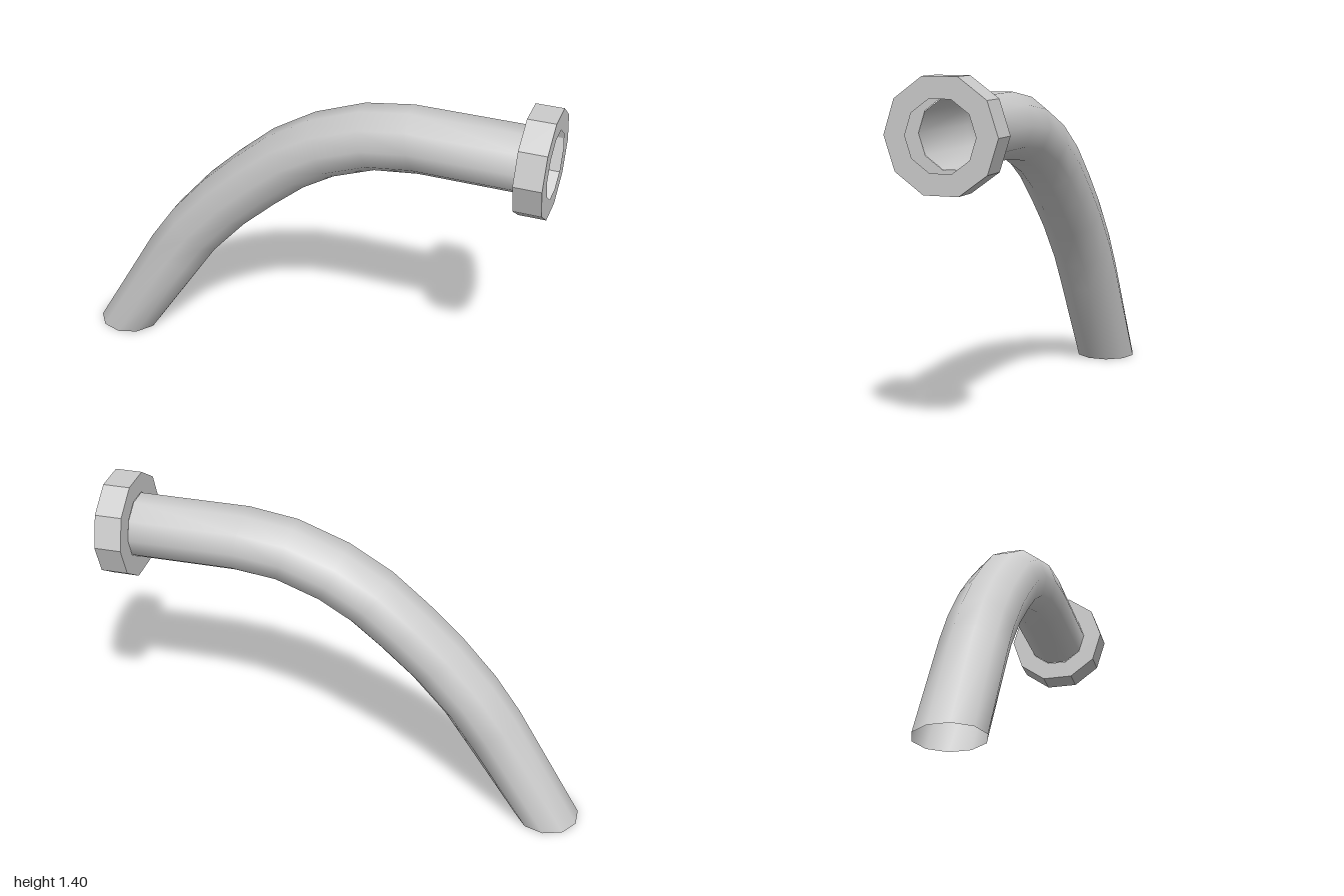
import * as THREE from 'three';

const SIDES = 10;
const PIPE_R = 0.135;
const FLANGE_R = 0.217;
const AXIS_Y = 1.194;

// Pipe stations: [topX, topY, bottomX, bottomY], from the level-cut foot to the flange
const STATIONS = [
  [-1, 0, -0.74, 0],
  [-0.71, 0.5, -0.49, 0.38],
  [-0.6, 0.66, -0.41, 0.5],
  [-0.45, 0.835, -0.27, 0.66],
  [-0.31, 0.97, -0.13, 0.79],
  [-0.16, 1.1, 0, 0.9],
  [0.02, 1.21, 0.13, 0.98],
  [0.23, 1.29, 0.3, 1.045],
  [0.43, 1.32, 0.48, 1.067],
  [0.89, 1.32, 0.89, 1.067],
];

// Sweeps a ten-sided ring, flat at top and bottom, through the stations
function pipeGeometry() {
  const positions = [];
  const index = [];
  const flat = Math.sin(Math.PI * 0.4);
  STATIONS.forEach(([tx, ty, bx, by], i) => {
    for (let j = 0; j < SIDES; j++) {
      const a = (j / SIDES) * Math.PI * 2;
      const s = Math.sin(a) / flat / 2;
      positions.push(
        (tx + bx) / 2 + (tx - bx) * s,
        (ty + by) / 2 + (ty - by) * s,
        PIPE_R * Math.cos(a)
      );
      if (i < STATIONS.length - 1) {
        const p = i * SIDES + j;
        const q = i * SIDES + ((j + 1) % SIDES);
        index.push(p, p + SIDES, q, q, p + SIDES, q + SIDES);
      }
    }
  });
  const geometry = new THREE.BufferGeometry();
  geometry.setAttribute('position', new THREE.Float32BufferAttribute(positions, 3));
  geometry.setIndex(index);
  geometry.computeVertexNormals();
  return geometry;
}

export function createModel() {
  const group = new THREE.Group();
  group.name = 'bentPipe';

  // Open, smooth curved pipe
  const pipe = new THREE.Mesh(
    pipeGeometry(),
    new THREE.MeshStandardMaterial({ color: 0xcccccc, side: THREE.DoubleSide })
  );
  pipe.name = 'pipe';
  group.add(pipe);

  // Hollow flange: back ring, outer wall and front ring, with no inner wall
  const profile = [[PIPE_R, 0.89], [FLANGE_R, 0.89], [FLANGE_R, 1], [PIPE_R, 1]]
    .map(([r, y]) => new THREE.Vector2(r, y));
  const flange = new THREE.Mesh(
    new THREE.LatheGeometry(profile, SIDES),
    new THREE.MeshStandardMaterial({ color: 0xcccccc, flatShading: true, side: THREE.DoubleSide })
  );
  flange.name = 'flange';
  flange.rotation.z = -Math.PI / 2;
  flange.position.y = AXIS_Y;
  group.add(flange);

  return group;
}
